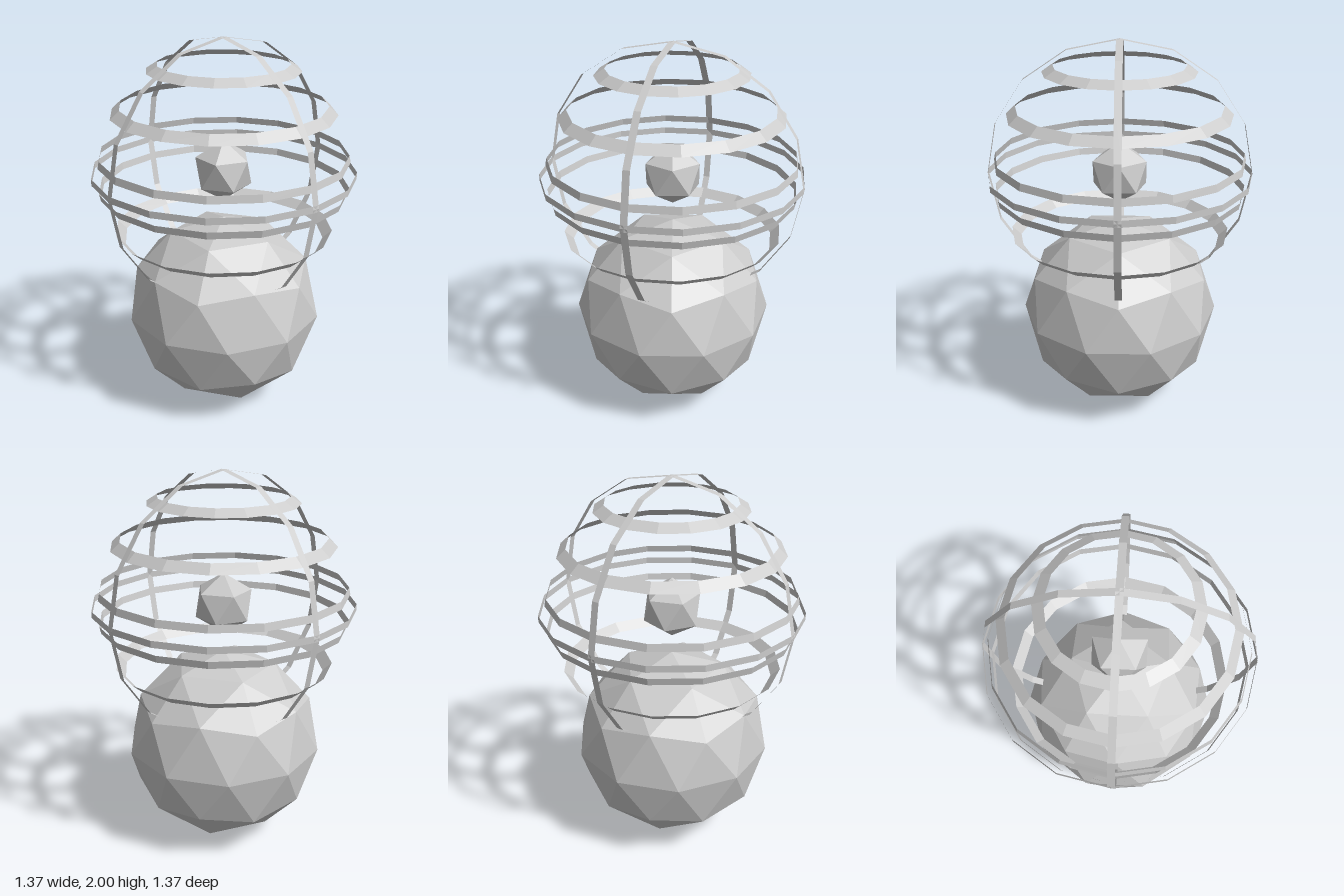
import * as THREE from 'three';

const SIDES = 16;
const CAGE_Y = 1.315;   // centre of the cage and of the core
const CAGE_R = 0.685;   // radius of the equator and of the upright hoops

const solid = new THREE.MeshStandardMaterial({ color: 0xcccccc, flatShading: true });
const thin = new THREE.MeshStandardMaterial({ color: 0xcccccc, flatShading: true, side: THREE.DoubleSide });

// Faceted ball with one corner pointing straight up and one towards +x
function facetedBall(name, radius, detail, y) {
  const geometry = new THREE.IcosahedronGeometry(radius, detail);
  geometry.rotateZ(-Math.atan(2 / (1 + Math.sqrt(5))));
  const mesh = new THREE.Mesh(geometry, solid);
  mesh.name = name;
  mesh.position.y = y;
  return mesh;
}

// Paper-thin open band, centred on its own axis
function band(name, topRadius, bottomRadius, height, y) {
  const geometry = new THREE.CylinderGeometry(topRadius, bottomRadius, height, SIDES, 1, true);
  const mesh = new THREE.Mesh(geometry, thin);
  mesh.name = name;
  mesh.position.y = y;
  return mesh;
}

export function createModel() {
  const model = new THREE.Group();
  model.name = 'cagedCoreOnBall';

  // Large base ball and the small core floating in the cage
  model.add(facetedBall('baseBall', 0.527, 1, 0.527));
  model.add(facetedBall('core', 0.163, 0, CAGE_Y));

  const cage = new THREE.Group();
  cage.name = 'cage';
  cage.position.y = CAGE_Y;
  model.add(cage);

  // Equator band
  cage.add(band('equatorBand', CAGE_R, CAGE_R, 0.034, 0));

  // Latitude bands, mirrored above and below: [outer radius, inner radius, low y, high y]
  const latitudes = [
    [0.65, 0.642, 0.068, 0.105],
    [0.575, 0.528, 0.312, 0.355],
    [0.388, 0.333, 0.525, 0.56],
  ];
  for (const [outer, inner, low, high] of latitudes) {
    const y = (low + high) / 2;
    cage.add(band('upperBand', inner, outer, high - low, y));
    cage.add(band('lowerBand', outer, inner, high - low, -y));
  }

  // Two crossing upright hoops, running down into the base ball
  const sideHoop = band('sideHoop', CAGE_R, CAGE_R, 0.036, 0);
  sideHoop.rotation.x = Math.PI / 2;
  const frontHoop = band('frontHoop', CAGE_R, CAGE_R, 0.036, 0);
  frontHoop.rotation.z = Math.PI / 2;
  cage.add(sideHoop, frontHoop);

  return model;
}
